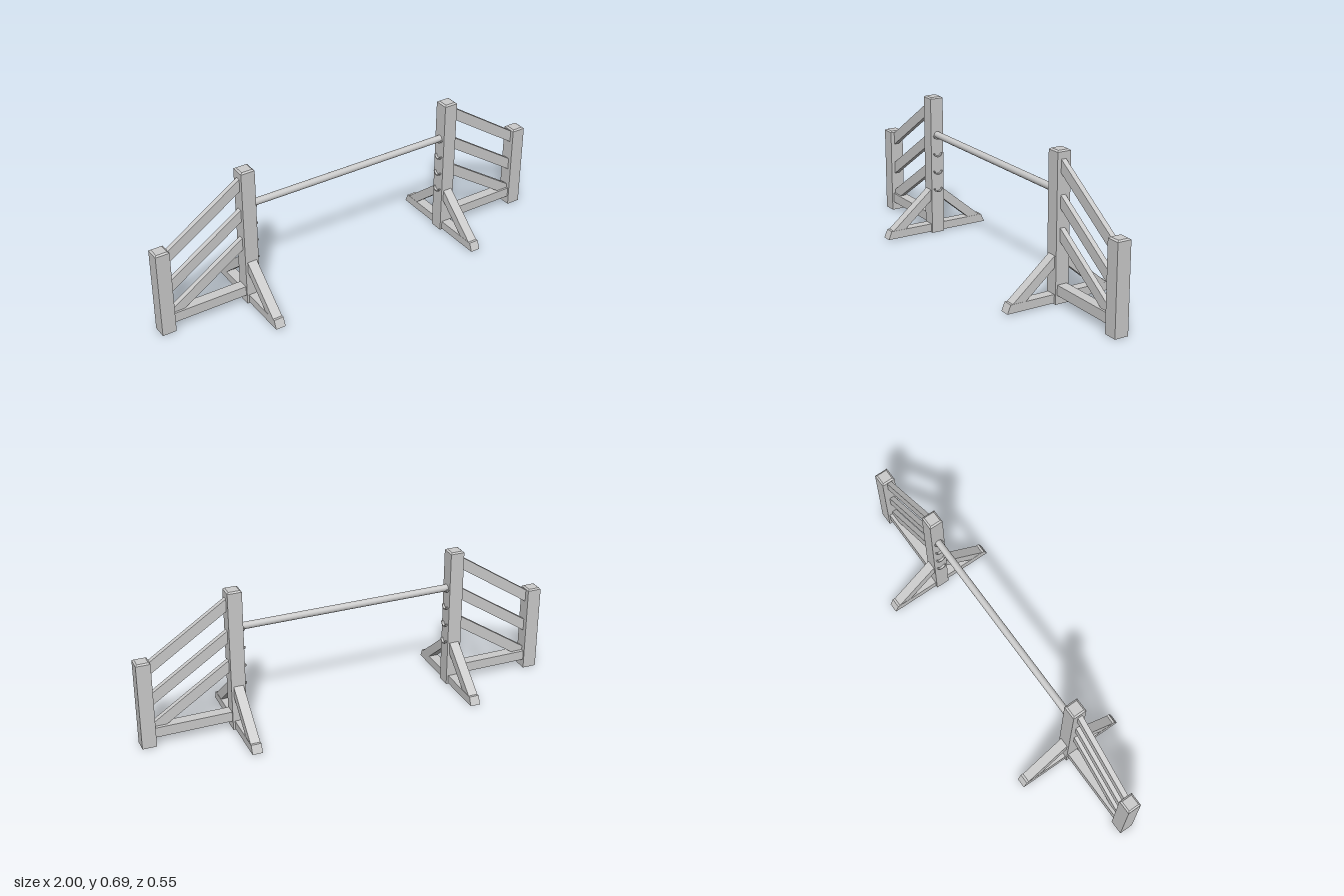
import * as THREE from 'three';

const material = new THREE.MeshStandardMaterial({ color: 0xcccccc, side: THREE.DoubleSide });
const POST = 0.067;    // post thickness
const INNER_X = 0.541; // centre of the tall post
const OUTER_X = 0.9665; // centre of the short post

function add(parent, geometry, name, x = 0, y = 0, z = 0) {
  const mesh = new THREE.Mesh(geometry, material);
  mesh.name = name;
  mesh.position.set(x, y, z);
  parent.add(mesh);
  return mesh;
}

// Extrudes an outline, centred on its depth
function slab(points, depth) {
  const shape = new THREE.Shape(points.map(([a, b]) => new THREE.Vector2(a, b)));
  return new THREE.ExtrudeGeometry(shape, { depth, bevelEnabled: false }).translate(0, 0, -depth / 2);
}

// Same, with the outline given as (z, y) and the depth along x
const sideSlab = (points, depth) => slab(points.map(([z, y]) => [-z, y]), depth).rotateY(Math.PI / 2);

// Square post with a small chamfered top
function addPost(parent, name, x, height) {
  const cap = 0.006;
  add(parent, new THREE.BoxGeometry(POST, height - cap, POST), name, x, (height - cap) / 2);
  const top = new THREE.CylinderGeometry((POST / 2 - 0.008) * Math.SQRT2, (POST / 2) * Math.SQRT2, cap, 4)
    .rotateY(Math.PI / 4).toNonIndexed();
  top.computeVertexNormals();
  add(parent, top, name + 'Cap', x, height - cap / 2);
}

// Shallow open cup that holds the pole
function cupGeometry(depth) {
  const shape = new THREE.Shape();
  shape.absarc(0, 0, 0.023, Math.PI * 1.05, Math.PI * 1.95, false);
  shape.absarc(0, 0, 0.0175, Math.PI * 1.95, Math.PI * 1.05, true);
  shape.closePath();
  return new THREE.ExtrudeGeometry(shape, { depth, bevelEnabled: false, curveSegments: 10 })
    .translate(0, 0, -depth / 2).rotateY(Math.PI / 2);
}

function createStand(side) {
  const stand = new THREE.Group();
  stand.name = side > 0 ? 'leftStand' : 'rightStand';
  addPost(stand, 'tallPost', side * INNER_X, 0.691);
  addPost(stand, 'shortPost', side * OUTER_X, 0.425);

  // Sloping rails, reaching slightly into the posts
  const xa = INNER_X + POST / 2 - 0.005, xb = OUTER_X - POST / 2 + 0.005;
  [0.656, 0.499, 0.351].forEach((top, i) => {
    const drop = 0.244, h = 0.06;
    const outline = [[xa, top - h], [xb, top - h - drop], [xb, top - drop], [xa, top]];
    add(stand, slab(outline.map(([x, y]) => [side * x, y]), 0.024), 'slopingRail' + (i + 1), 0, 0, 0.003);
  });

  // Level bottom rail
  add(stand, new THREE.BoxGeometry(xb - xa, 0.048, 0.05), 'bottomRail', side * (xa + xb) / 2, 0.066);

  // Foot beam with slanted ends, and its two braces
  add(stand, sideSlab([[-0.273, 0.005], [0.273, 0.005], [0.256, 0.045], [-0.256, 0.045]], 0.048),
    'foot', side * INNER_X);
  for (const s of [1, -1]) {
    const brace = [[0.03, 0.171], [0.179, 0.044], [0.246, 0.044], [0.03, 0.226]];
    add(stand, sideSlab(brace.map(([z, y]) => [s * z, y]), 0.046),
      s > 0 ? 'frontBrace' : 'backBrace', side * INNER_X);
  }

  // Row of pole cups on the inner face
  [0.504, 0.414, 0.324, 0.234].forEach((y, i) =>
    add(stand, cupGeometry(0.012), 'poleCup' + (i + 1), side * (INNER_X - POST / 2 - 0.005), y));
  return stand;
}

export function createModel() {
  const model = new THREE.Group();
  model.name = 'jumpFence';
  model.add(createStand(1), createStand(-1));

  // Round pole between the stands
  const length = 2 * (INNER_X - POST / 2);
  add(model, new THREE.CylinderGeometry(0.0165, 0.0165, length, 16).rotateZ(Math.PI / 2), 'pole', 0, 0.504);
  return model;
}
